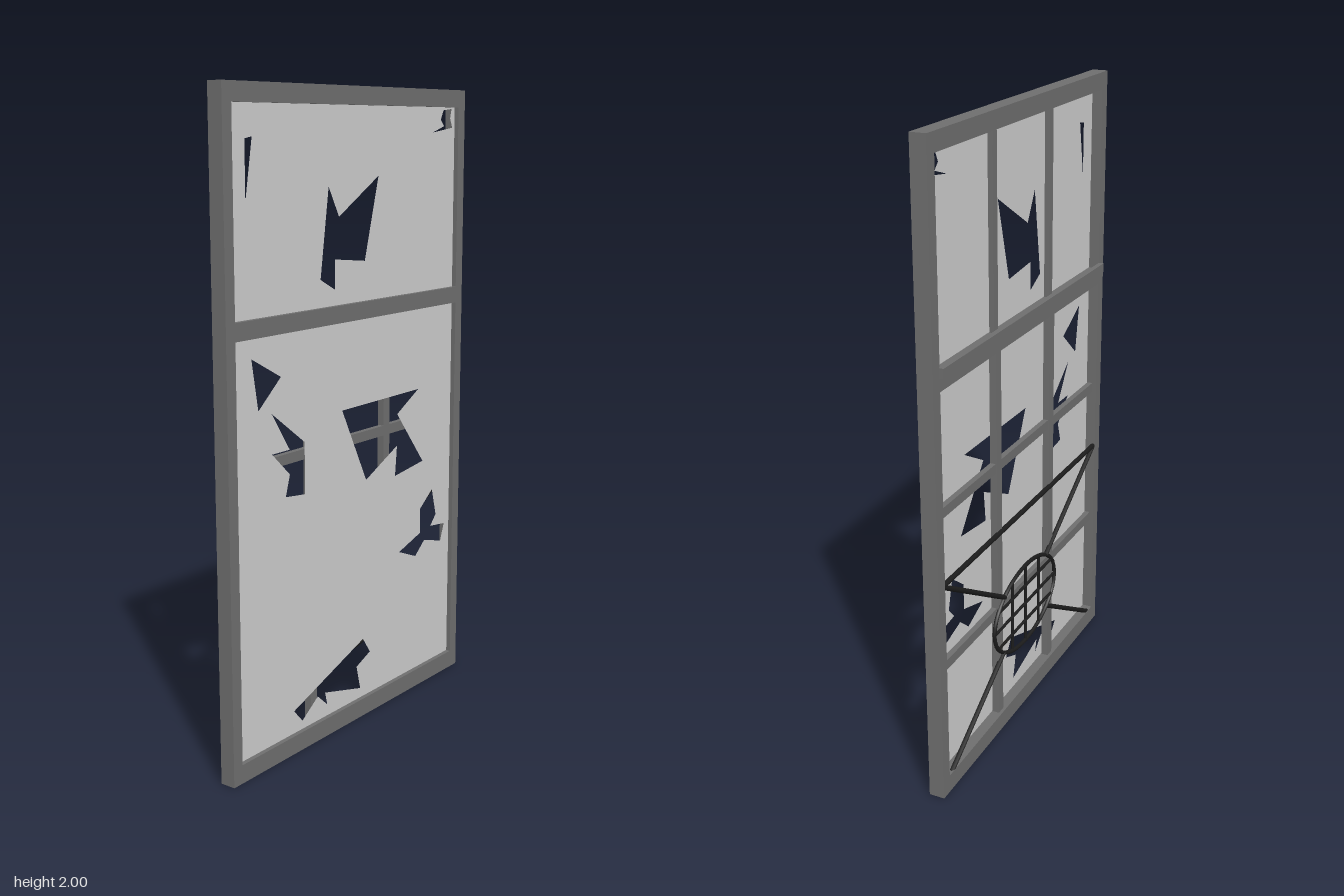
import * as THREE from 'three';

const frameMat = new THREE.MeshStandardMaterial({ color: 0x6e6e6e });
const wireMat = new THREE.MeshStandardMaterial({ color: 0x1c1c1c });
const paperMat = new THREE.MeshStandardMaterial({ color: 0xcccccc, side: THREE.DoubleSide });

// Torn holes as [z, y] outlines
const upperTears = [
  [[.49, 1.85], [.46, 1.855], [.49, 1.68]],
  [[-.49, 1.935], [-.538, 1.94], [-.53, 1.91], [-.543, 1.88], [-.43, 1.865], [-.495, 1.885], [-.475, 1.905]],
  [[.12, 1.71], [.07, 1.62], [-.13, 1.735], [-.06, 1.48], [.09, 1.495], [.09, 1.405], [.16, 1.44]],
];
const lowerTears = [
  [[.475, 1.245], [.347, 1.177], [.448, 1.092]],
  [[.39, 1.075], [.24, .965], [.24, .805], [.33, .815], [.31, .88], [.39, .955], [.31, .955]],
  [[.055, 1.03], [-.36, 1.035], [-.24, .97], [-.39, .785], [-.23, .765], [-.24, .865], [-.07, .785]],
  [[-.45, .673], [-.475, .58], [-.443, .545], [-.528, .535], [-.506, .477], [-.406, .504],
    [-.353, .46], [-.257, .498], [-.38, .535], [-.38, .62]],
  [[.3, .13], [-.055, .255], [-.093, .2], [-.02, .17], [-.04, .09], [.146, .138],
    [.135, .095], [.183, .138], [.26, .085]],
];

export function createModel() {
  const model = new THREE.Group();

  // Box given by its limits on each axis
  function bar(name, x0, x1, y0, y1, z0, z1, material = frameMat) {
    const mesh = new THREE.Mesh(new THREE.BoxGeometry(x1 - x0, y1 - y0, z1 - z0), material);
    mesh.position.set((x0 + x1) / 2, (y0 + y1) / 2, (z0 + z1) / 2);
    mesh.name = name;
    model.add(mesh);
  }

  // Outer frame and middle rail
  for (const s of [-1, 1]) {
    const a = s * 0.557, b = s * 0.595;
    bar('frameStile', -0.02, 0.03, 0, 2, Math.min(a, b), Math.max(a, b));
  }
  bar('topRail', -0.02, 0.03, 1.945, 2, -0.557, 0.557);
  bar('bottomRail', -0.02, 0.03, 0, 0.058, -0.557, 0.557);
  bar('middleRail', -0.02, 0.03, 1.304, 1.357, -0.557, 0.557);
  bar('backLedge', -0.035, -0.018, 1.345, 1.375, -0.563, 0.563);

  // Thin sheets with torn holes, set back from the face of the frame
  function sheet(name, y0, y1, tears) {
    const w = 0.557;
    const shape = new THREE.Shape([[-w, y0], [w, y0], [w, y1], [-w, y1]].map(p => new THREE.Vector2(...p)));
    shape.holes = tears.map(t => new THREE.Path(t.map(([z, y]) => new THREE.Vector2(-z, y))));
    const mesh = new THREE.Mesh(new THREE.ShapeGeometry(shape), paperMat);
    mesh.rotation.y = Math.PI / 2;
    mesh.position.x = 0.015;
    mesh.name = name;
    model.add(mesh);
  }
  sheet('upperSheet', 1.357, 1.945, upperTears);
  sheet('lowerSheet', 0.058, 1.304, lowerTears);

  // Lattice behind the sheets
  for (const z of [-0.183, 0.2]) {
    bar('upperMuntin', -0.003, 0.013, 1.357, 1.945, z - 0.013, z + 0.013);
    bar('lowerMuntin', -0.01, 0.013, 0.058, 1.304, z - 0.016, z + 0.016);
  }
  for (const y of [0.43, 0.928]) {
    bar('crossMuntin', -0.005, 0.013, y - 0.016, y + 0.016, -0.557, 0.557);
  }

  // Dark wire mesh on the back: oval hoop, grid and stays to the frame
  const wires = new THREE.Group();
  wires.name = 'wireWork';
  wires.position.x = -0.012;
  model.add(wires);
  const cy = 0.365, rz = 0.23, ry = 0.14;

  function wire(name, z0, y0, z1, y1, radius) {
    const a = new THREE.Vector3(0, y0, z0), b = new THREE.Vector3(0, y1, z1);
    const mesh = new THREE.Mesh(new THREE.CylinderGeometry(radius, radius, a.distanceTo(b), 8), wireMat);
    mesh.position.copy(a).add(b).multiplyScalar(0.5);
    mesh.quaternion.setFromUnitVectors(new THREE.Vector3(0, 1, 0), b.sub(a).normalize());
    mesh.name = name;
    wires.add(mesh);
  }

  const ring = [];
  for (let i = 0; i < 32; i++) {
    const t = i / 32 * Math.PI * 2;
    ring.push(new THREE.Vector3(0, cy + ry * Math.sin(t), rz * Math.cos(t)));
  }
  const hoop = new THREE.Mesh(
    new THREE.TubeGeometry(new THREE.CatmullRomCurve3(ring, true), 48, 0.007, 6, true), wireMat);
  hoop.name = 'hoop';
  wires.add(hoop);

  for (const k of [-1, 0, 1]) {
    const z = k * 0.1, h = ry * Math.sqrt(1 - (z / rz) ** 2);
    wire('gridUpright', z, cy - h, z, cy + h, 0.005);
    const y = k * 0.065, w = rz * Math.sqrt(1 - (y / ry) ** 2);
    wire('gridCrossWire', -w, cy + y, w, cy + y, 0.005);
  }
  wire('topStay', -0.56, 0.709, 0.56, 0.709, 0.008);
  for (const s of [-1, 1]) {
    wire('upperStay', s * 0.56, 0.709, s * 0.155, cy + 0.1, 0.008);
    wire('lowerStay', s * 0.55, 0.04, s * 0.165, cy - 0.097, 0.008);
  }
  return model;
}
